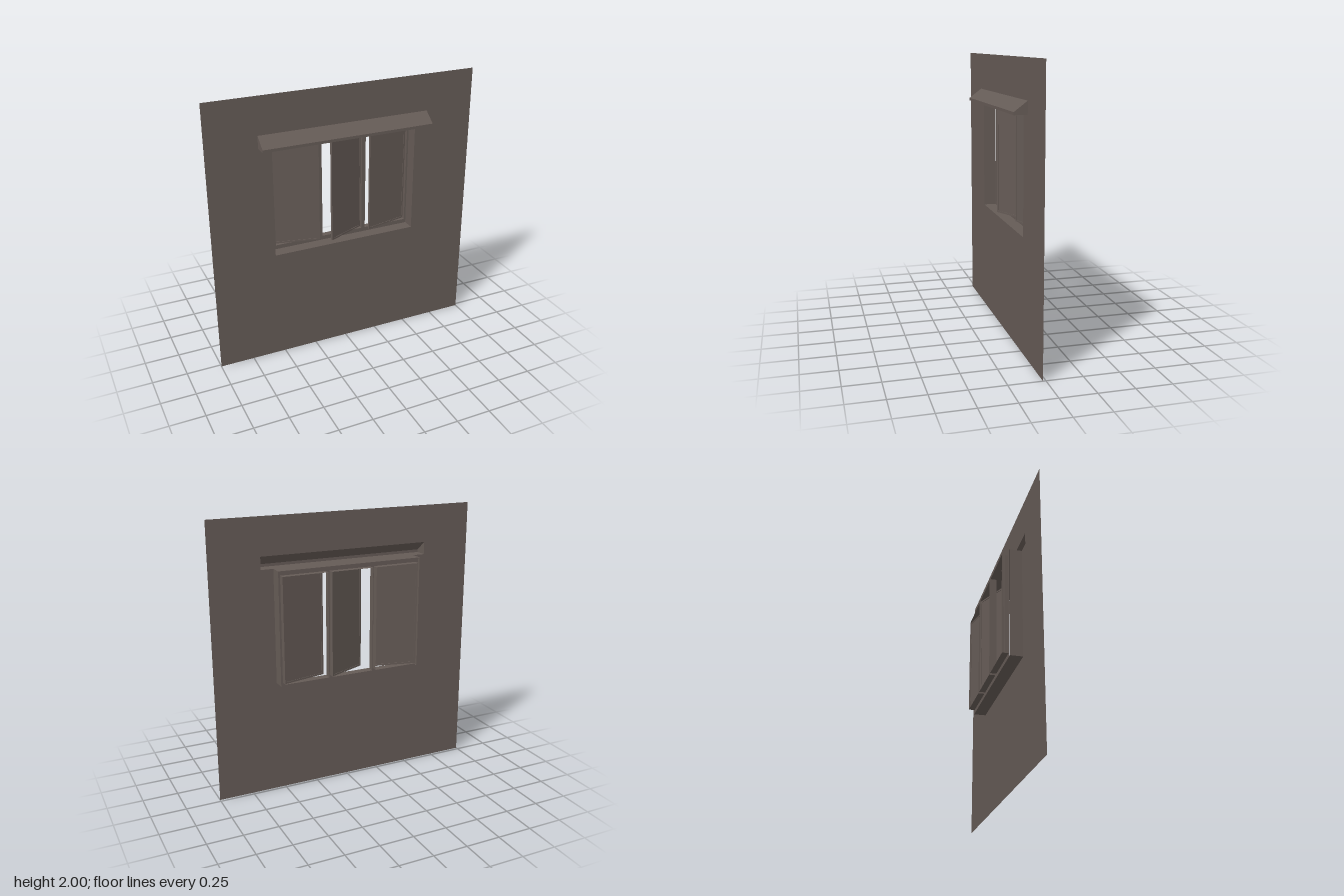
import * as THREE from 'three';

const plaster = new THREE.MeshStandardMaterial({ color: 0x655b56, side: THREE.DoubleSide });
plaster.name = 'warm grey';

// Depths of the layers, front to back
const WALL_Z = 0.02, FRAME_Z = -0.07, BACK_Z = -0.115;
const HOLE = { x0: -0.545, x1: 0.545, y0: 0.82, y1: 1.64 };
const SASH_Y0 = 0.85, SASH_Y1 = 1.61;

// Three openings, each with the side its sash is hinged on and its swing in degrees
const OPENINGS = [
  { name: 'left', x0: -0.51, x1: -0.173, hinge: -1, swing: 13 },
  { name: 'middle', x0: -0.145, x1: 0.17, hinge: 1, swing: 24 },
  { name: 'right', x0: 0.198, x1: 0.532, hinge: 1, swing: 13 },
];

function add(parent, geometry, name) {
  const mesh = new THREE.Mesh(geometry, plaster);
  mesh.name = name;
  parent.add(mesh);
  return mesh;
}

function rectPath(x0, y0, x1, y1, PathType = THREE.Path) {
  return new PathType([[x0, y0], [x1, y0], [x1, y1], [x0, y1]].map(p => new THREE.Vector2(...p)));
}

// Flat polygons (each a convex loop of [x, y, z] corners) as one faceted surface
function sheets(polygons) {
  const positions = [];
  for (const p of polygons) {
    for (let i = 1; i < p.length - 1; i++) positions.push(...p[0], ...p[i], ...p[i + 1]);
  }
  const geometry = new THREE.BufferGeometry();
  geometry.setAttribute('position', new THREE.Float32BufferAttribute(positions, 3));
  geometry.computeVertexNormals();
  return geometry;
}

// Four thin walls lining a rectangular hole, normals outward
function lining(x0, y0, x1, y1, front, back) {
  const corners = [[x0, y0], [x1, y0], [x1, y1], [x0, y1]];
  return sheets(corners.map((a, i) => {
    const b = corners[(i + 1) % 4];
    return [[...a, back], [...b, back], [...b, front], [...a, front]];
  }));
}

// Casement sash: thin panel with a raised border, swung about its hinge edge
function makeSash({ name, x0, x1, hinge, swing }) {
  const sash = new THREE.Group();
  sash.name = name + 'Sash';
  const w = x1 - x0 - 0.004, h = SASH_Y1 - SASH_Y0 - 0.004, t = 0.015, border = 0.012;
  const cx = -hinge * w / 2;
  const box = (bw, bh, bd, x, y, part) =>
    add(sash, new THREE.BoxGeometry(bw, bh, bd), part).position.set(x, y, t / 2);
  box(w - 2 * border, h - 2 * border, t * 0.5, cx, 0, 'sashPanel');
  for (const s of [-1, 1]) {
    box(border, h, t, cx + s * (w - border) / 2, 0, 'sashStile');
    box(w - 2 * border, border, t, cx, s * (h - border) / 2, 'sashRail');
  }
  sash.position.set(hinge < 0 ? x0 + 0.002 : x1 - 0.002, (SASH_Y0 + SASH_Y1) / 2, BACK_Z + 0.004);
  sash.rotation.y = hinge * THREE.MathUtils.degToRad(swing);
  return sash;
}

export function createModel() {
  const model = new THREE.Group();
  model.name = 'wallWithWindow';

  // Wall sheet, cut out for the window and for the open back of the canopy
  const hoodX = 0.635, hoodTop = 1.73;
  const wall = rectPath(-1, 0, 1, 2, THREE.Shape);
  wall.holes.push(new THREE.Path([
    [HOLE.x0, HOLE.y0], [HOLE.x1, HOLE.y0], [HOLE.x1, HOLE.y1], [hoodX, HOLE.y1],
    [hoodX, hoodTop], [-hoodX, hoodTop], [-hoodX, HOLE.y1], [HOLE.x0, HOLE.y1],
  ].map(p => new THREE.Vector2(...p))));
  add(model, new THREE.ShapeGeometry(wall), 'wall').position.z = WALL_Z;

  // Reveal around the window hole
  add(model, lining(HOLE.x0, HOLE.y0, HOLE.x1, HOLE.y1, WALL_Z, FRAME_Z), 'reveal');

  // Window frame at the back of the reveal, leaving a slit at one jamb
  const frame = rectPath(-0.534, HOLE.y0, HOLE.x1, HOLE.y1, THREE.Shape);
  for (const o of OPENINGS) frame.holes.push(rectPath(o.x0, SASH_Y0, o.x1, SASH_Y1));
  add(model, new THREE.ShapeGeometry(frame), 'windowFrame').position.z = FRAME_Z;

  // Linings and swung sashes
  for (const o of OPENINGS) {
    add(model, lining(o.x0, SASH_Y0, o.x1, SASH_Y1, FRAME_Z, BACK_Z), o.name + 'Lining');
    model.add(makeSash(o));
  }

  // Canopy: sloped hood, open at the back, from a [y, z] profile
  const profile = [[hoodTop, WALL_Z], [1.66, 0.112], [HOLE.y1, 0.112], [HOLE.y1, WALL_Z]];
  const faces = [];
  for (let i = 0; i < 3; i++) {
    const a = profile[i], b = profile[i + 1];
    faces.push([[-hoodX, ...a], [-hoodX, ...b], [hoodX, ...b], [hoodX, ...a]]);
  }
  faces.push(profile.map(p => [hoodX, ...p]).reverse(), profile.map(p => [-hoodX, ...p]));
  // Order the end caps so both face outward
  faces[3].reverse();
  faces[4].reverse();
  add(model, sheets(faces), 'canopy');

  return model;
}
